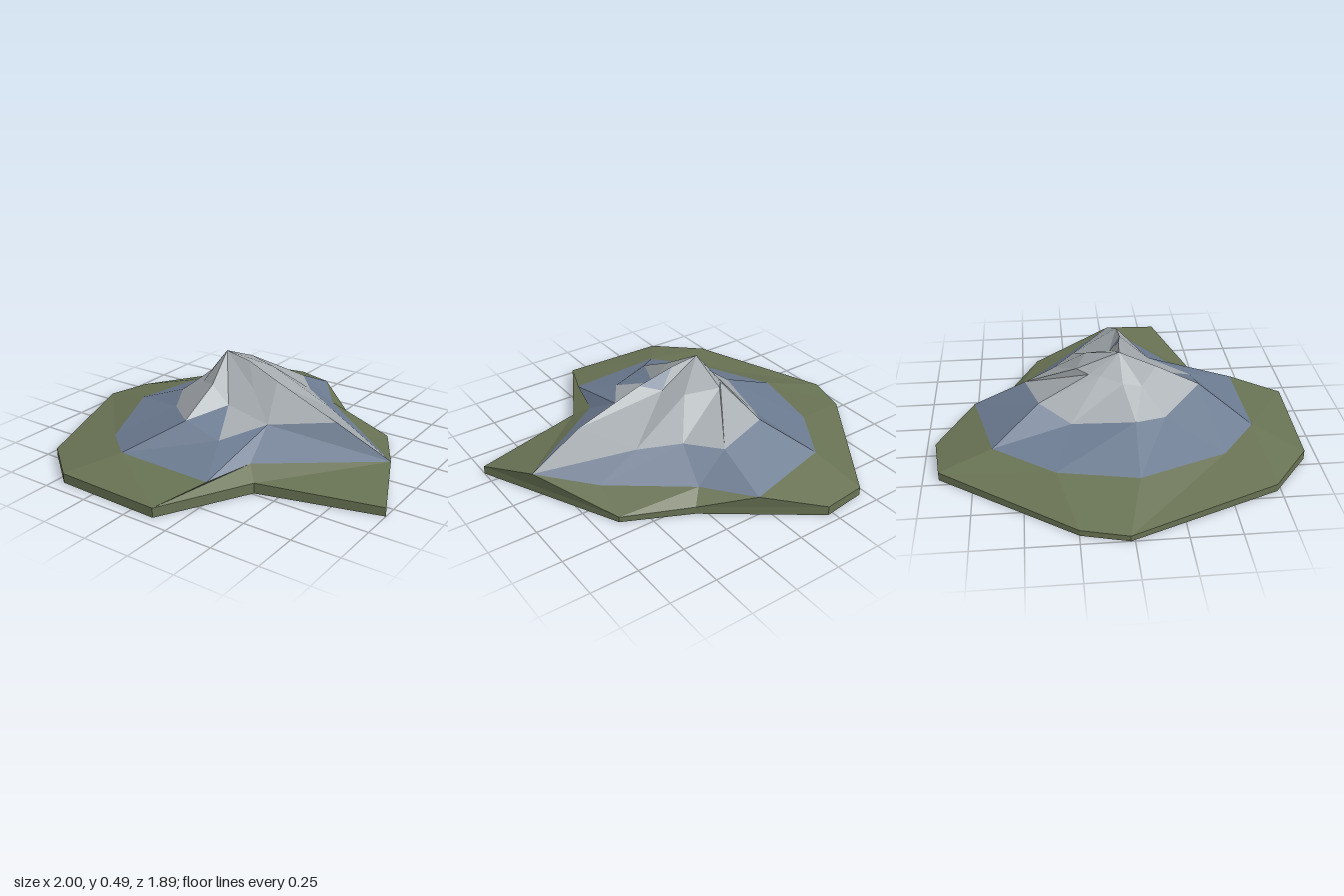
import * as THREE from 'three';

const v = (x, y, z) => new THREE.Vector3(x, y, z);

// Radial spines running clockwise (seen from above): crag, scree line, slope foot, meadow rim
const spines = [
  [v(.22, .40, .045), v(.58, .265, .06), v(.87, .12, .03), v(1, .045, .33)],
  [v(.12, .35, .11), v(.27, .23, .21), v(.31, .11, .42), v(.38, .055, .49)],
  [v(.03, .28, .21), v(.13, .19, .43), v(.24, .10, .68), v(.13, .05, .945)],
  [v(-.07, .37, .21), v(-.07, .25, .44), v(-.28, .115, .69), v(-.45, .05, .93)],
  [v(-.20, .33, .12), v(-.30, .20, .23), v(-.49, .09, .51), v(-.70, .04, .73)],
  [v(-.22, .36, .02), v(-.38, .23, .07), v(-.68, .11, .06), v(-1, .03, -.02)],
  [v(-.18, .39, -.09), v(-.32, .20, -.25), v(-.60, .11, -.34), v(-.94, .03, -.25)],
  [v(-.16, .39, -.15), v(-.22, .27, -.41), v(-.40, .13, -.65), v(-.46, .045, -.92)],
  [v(-.11, .40, -.21), v(.06, .235, -.48), v(.06, .11, -.755), v(-.22, .05, -.95)],
  [v(.07, .39, -.15), v(.20, .235, -.32), v(.24, .10, -.51), v(.30, .04, -.57)],
  [v(.12, .37, -.02), v(.40, .21, -.20), v(.62, .09, -.21), v(.64, .03, -.41)],
];
const apex = v(-.12, .49, .01);
const shoulder = v(.03, .465, .02);

// Quads (band-sector) that are split along the other diagonal
const flipped = new Set(['0-1', '1-0', '2-2', '2-10']);

export function createModel() {
  const group = new THREE.Group();
  group.name = 'mountain';
  const faces = { meadow: [], slopes: [], summit: [] };
  const add = (part, ...points) => faces[part].push(...points);
  const n = spines.length;

  for (let i = 0; i < n; i++) {
    const p = spines[i], q = spines[(i + 1) % n];

    // Peak fan, with a shoulder on the ridge spine
    if (i === n - 1) {
      add('summit', apex, shoulder, p[0]);
      add('slopes', shoulder, q[0], p[0]);
    } else if (i === 0) {
      add('summit', apex, q[0], shoulder);
      add('summit', shoulder, q[0], p[0]);
    } else {
      add('summit', apex, q[0], p[0]);
    }

    // Bands from crag to rim
    ['summit', 'slopes', 'meadow'].forEach((part, k) => {
      const a = p[k], b = q[k], c = p[k + 1], d = q[k + 1];
      if (flipped.has(`${k}-${i}`)) {
        add(part, a, b, c);
        add(part, b, d, c);
      } else {
        // the gully is bare slope; the ridge carries summit rock to its tip
        add(k === 0 && i === 2 ? 'slopes' : part, a, d, c);
        add(k === 1 && i === n - 1 ? 'summit' : part, a, b, d);
      }
    });

    // Rim wall
    const pb = v(p[3].x, 0, p[3].z), qb = v(q[3].x, 0, q[3].z);
    add('meadow', p[3], q[3], qb);
    add('meadow', p[3], qb, pb);
  }

  // Underside
  const rim = spines.map(s => new THREE.Vector2(s[3].x, s[3].z));
  for (const tri of THREE.ShapeUtils.triangulateShape(rim, [])) {
    const [a, b, c] = tri.map(j => v(rim[j].x, 0, rim[j].y));
    const up = b.clone().sub(a).cross(c.clone().sub(a)).y > 0;
    if (up) add('meadow', a, c, b);
    else add('meadow', a, b, c);
  }

  const colors = { meadow: 0x687253, slopes: 0x6c7b91, summit: 0xa3a9ad };
  const materialNames = { meadow: 'moss green', slopes: 'slate blue', summit: 'pale grey rock' };
  for (const part of Object.keys(faces)) {
    const geometry = new THREE.BufferGeometry().setFromPoints(faces[part]);
    geometry.computeVertexNormals();
    const material = new THREE.MeshStandardMaterial({ color: colors[part], flatShading: true });
    material.name = materialNames[part];
    const mesh = new THREE.Mesh(geometry, material);
    mesh.name = part;
    group.add(mesh);
  }
  return group;
}
